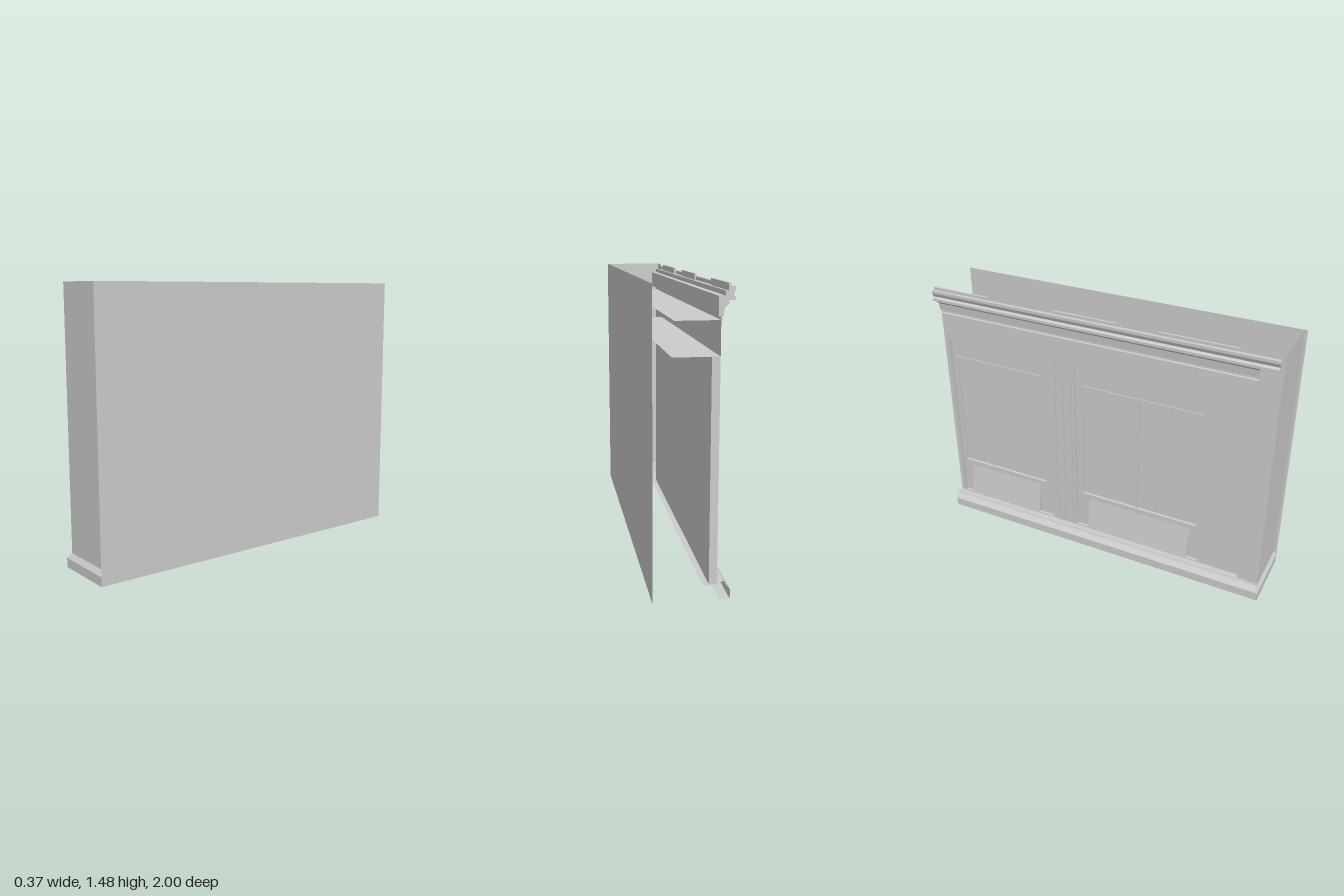
import * as THREE from 'three';

const mat = new THREE.MeshStandardMaterial({ color: 0xcccccc, side: THREE.DoubleSide, flatShading: true });

export function createModel() {
  const group = new THREE.Group();

  function add(name, geo) {
    const m = new THREE.Mesh(geo, mat);
    m.name = name;
    group.add(m);
    return m;
  }
  // box from its limits on each axis
  function box(name, x0, x1, y0, y1, z0, z1) {
    return add(name, new THREE.BoxGeometry(x1 - x0, y1 - y0, z1 - z0)
      .translate((x0 + x1) / 2, (y0 + y1) / 2, (z0 + z1) / 2));
  }
  // flat sheet through four corners
  function quad(name, ...c) {
    const g = new THREE.BufferGeometry();
    g.setAttribute('position', new THREE.Float32BufferAttribute(c.flat(), 3));
    g.setIndex([0, 1, 2, 0, 2, 3]);
    const flat = g.toNonIndexed();
    flat.computeVertexNormals();
    return add(name, flat);
  }
  // sheet facing -x
  const face = (name, x, y0, y1, z0, z1) =>
    quad(name, [x, y0, z0], [x, y0, z1], [x, y1, z1], [x, y1, z0]);
  // sheet facing -z
  const jamb = (name, z, y0, y1, x0, x1) =>
    quad(name, [x1, y0, z], [x0, y0, z], [x0, y1, z], [x1, y1, z]);
  // sheet facing up
  const shelf = (name, y, x0, x1, z0, z1) =>
    quad(name, [x0, y, z0], [x0, y, z1], [x1, y, z1], [x1, y, z0]);

  const H = 1.475, BAY = -0.095, WALL = -0.122, EDGE = -0.155;

  // plain side and end walls
  quad('sideWall', [0.182, 0, 1], [0.182, 0, -1], [0.182, H, -1], [0.182, H, 1]);
  quad('endWall', [EDGE, 0.08, 0.985], [0.182, 0.08, 0.985], [0.182, H, 0.985], [EDGE, H, 0.985]);

  // plinth: [inset, height] profile run along the facade and mitred round the corner
  const profile = [[0.05, 0], [0, 0], [0, 0.05], [0.022, 0.078], [0.027, 0.09], [0.055, 0.09], [0.08, 0.075]];
  const at = ([d, y]) => [[-0.185 + d, y, -1], [-0.185 + d, y, 1 - d], [0.182, y, 1 - d]];
  for (let i = 0; i < profile.length - 1; i++) {
    const a = at(profile[i]), b = at(profile[i + 1]);
    for (let k = 0; k < 2; k++) quad('plinth', a[k], a[k + 1], b[k + 1], b[k]);
  }
  shelf('plinthLedge', 0.075, -0.105, -0.055, -1, 0.92);

  // soffit sheets inside
  shelf('lowerSoffit', 1.155, WALL, 0.095, -1, 0.62);
  shelf('upperSoffit', 1.315, -0.14, 0.085, -1, 0.87);

  // fascia, plain wall and corner pilaster
  face('fascia', WALL, 1.155, 1.42, -1, 0.87);
  face('plainWall', WALL, 0.08, 1.155, 0.62, 0.87);
  jamb('bayJamb', 0.62, 0.08, 1.155, WALL, BAY);
  jamb('pilasterJamb', 0.87, 0.08, 1.42, EDGE, WALL);
  face('cornerPilaster', EDGE, 0.08, H, 0.87, 0.985);
  box('pilasterBead', EDGE - 0.005, EDGE, 0.09, 1.4, 0.93, 0.945);

  // recessed bay with two window openings, drawn in (z, y)
  const openings = [[-0.95, -0.38], [-0.12, 0.59]];
  const sill = 0.3, head = 1.02;
  const bay = new THREE.Shape([[-1, 0.08], [0.62, 0.08], [0.62, 1.155], [-1, 1.155]].map(p => new THREE.Vector2(...p)));
  for (const [a, b] of openings) {
    bay.holes.push(new THREE.Path([[a, sill], [a, head], [b, head], [b, sill]].map(p => new THREE.Vector2(...p))));
  }
  add('bayFrame', new THREE.ExtrudeGeometry(bay, { depth: 0.012, bevelEnabled: false })
    .rotateY(-Math.PI / 2).translate(BAY + 0.012, 0, 0));

  for (const [a, b] of openings) {
    face('windowPane', BAY + 0.012, sill, head, a, b);
    box('windowSill', BAY - 0.006, BAY + 0.01, sill - 0.005, sill + 0.015, a, b);
    box('windowHead', BAY - 0.006, BAY + 0.01, head, head + 0.015, a, b);
    // sloping apron under the window
    const z0 = a + 0.04, z1 = b - 0.04, out = BAY - 0.025, top = sill - 0.02;
    quad('apron', [out, 0.09, z0], [out, 0.09, z1], [BAY, top, z1], [BAY, top, z0]);
    for (const z of [z0, z1]) quad('apronCheek', [out, 0.09, z], [BAY, 0.09, z], [BAY, top, z], [BAY, top, z]);
  }
  box('windowMullion', BAY, BAY + 0.012, sill, head, 0.215, 0.225);
  box('transomBoard', BAY - 0.006, BAY, 1.04, 1.155, -0.12, 0.5);

  // posts between the windows and at the open end
  box('centrePost', BAY - 0.015, BAY, 0.08, 1.155, -0.32, -0.16);
  for (const z of [-0.3, -0.25, -0.2]) box('postReed', BAY - 0.024, BAY - 0.015, 0.08, 1.155, z, z + 0.02);
  box('endPost', WALL, BAY + 0.01, 0.08, 1.155, -1, -0.975);

  // cornice along the top of the facade, drawn in (x, y)
  const cornice = new THREE.Shape([
    [-0.11, 1.42], [-0.11, 1.33], [-0.132, 1.33], [-0.137, 1.37], [-0.155, 1.385], [-0.158, 1.402],
    [-0.185, 1.402], [-0.185, 1.415], [-0.175, 1.425], [-0.185, 1.445], [-0.185, 1.46],
    [-0.163, 1.46], [-0.163, 1.442], [-0.14, 1.442], [-0.14, 1.42],
  ].map(p => new THREE.Vector2(...p)));
  add('cornice', new THREE.ExtrudeGeometry(cornice, { depth: 1.97, bevelEnabled: false }).translate(0, 0, -1));
  for (const [a, b] of [[-1, -0.65], [-0.25, 0.12], [0.35, 0.77]]) {
    box('corniceCap', -0.165, -0.153, 1.442, H, a, b);
  }
  return group;
}
